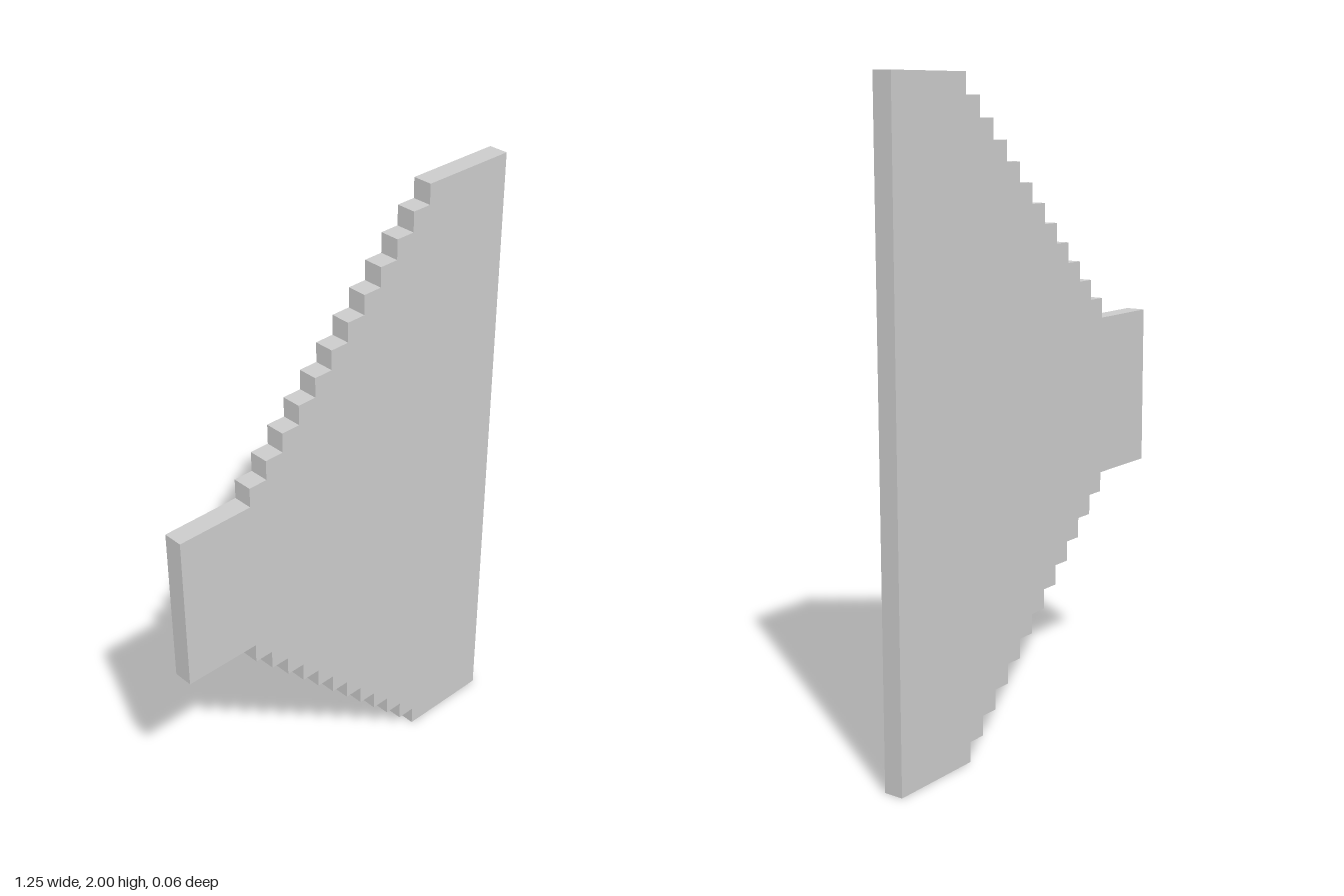
import * as THREE from 'three';

const U = 1 / 16; // one grid cell; every edge lies on this grid

export function createModel() {
  const group = new THREE.Group();
  group.name = 'steppedPanel';

  // Upper outline: narrow tab, eleven one-cell steps, full-height edge
  const upper = [[-10, 4]];
  for (let i = 0; i < 11; i++) {
    upper.push([-6 + i, 4 + i], [-6 + i, 5 + i]);
  }
  upper.push([5, 15], [5, 16], [10, 16]);

  // Mirror it for the lower outline and close the loop
  const lower = upper.map(([x, h]) => [x, -h]).reverse();
  const points = [...upper, ...lower].map(([x, h]) => new THREE.Vector2(x * U, 1 + h * U));

  // Thin plate, one cell thick, centred on z = 0
  const geometry = new THREE.ExtrudeGeometry(new THREE.Shape(points), { depth: U, bevelEnabled: false });
  geometry.translate(0, 0, -U / 2);

  const panel = new THREE.Mesh(geometry, new THREE.MeshStandardMaterial({ color: 0xcccccc, flatShading: true }));
  panel.name = 'panel';
  group.add(panel);
  return group;
}
